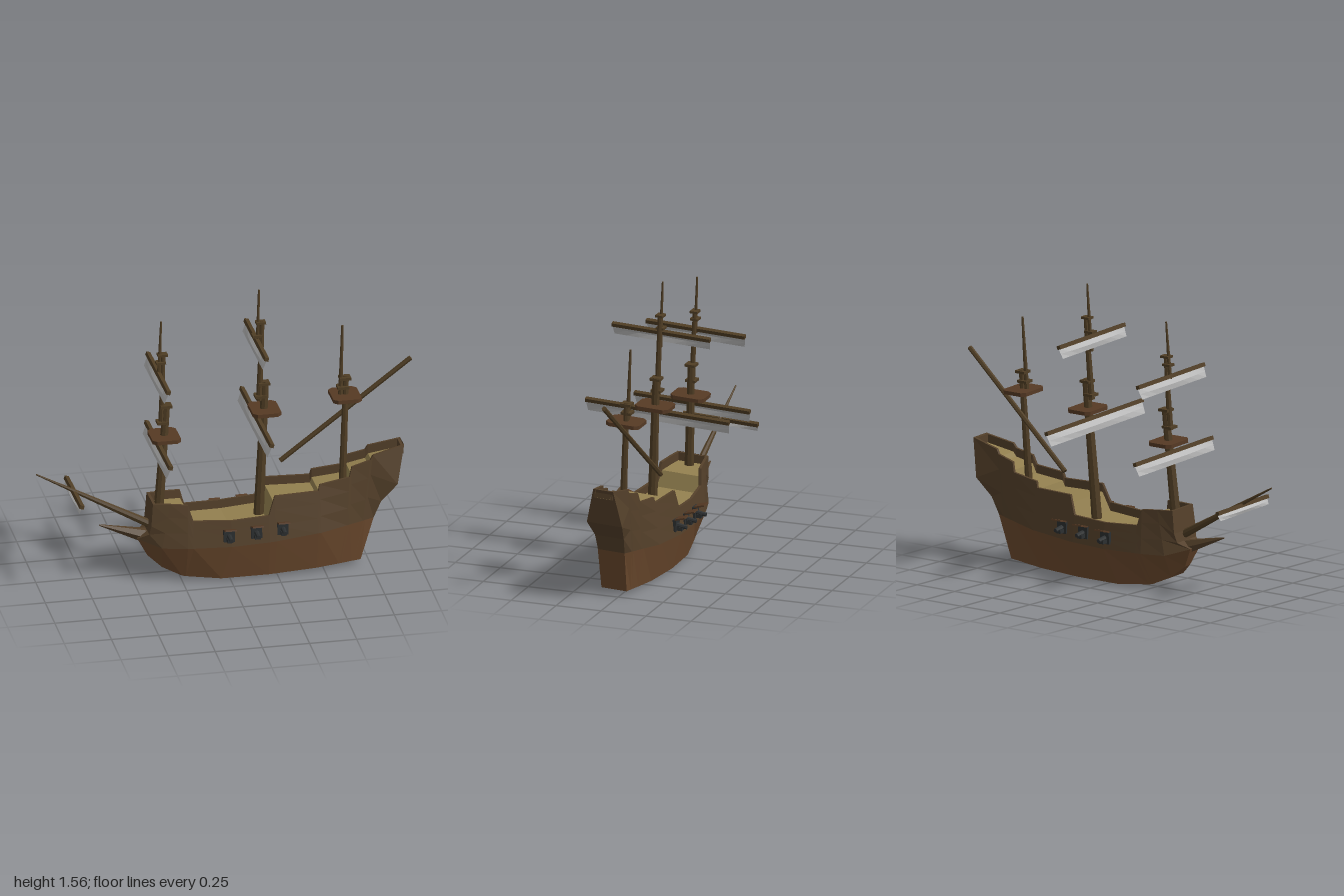
import * as THREE from 'three';

const mat = (color) => new THREE.MeshStandardMaterial({ color, flatShading: true, side: THREE.DoubleSide });

export function createModel() {
  const root = new THREE.Group();
  root.name = 'sailingShip';
  const ship = new THREE.Group();
  ship.name = 'heeledShip';
  root.add(ship);

  const planks = mat(0x6b492d), topsides = mat(0x54402a), deckWood = mat(0x93804f);
  const spar = mat(0x4f3d24), platformWood = mat(0x563a24), cloth = mat(0xb8b8b8), iron = mat(0x2c2f30);

  const add = (name, geometry, material, parent = ship) => {
    const m = new THREE.Mesh(geometry, material);
    m.name = name;
    parent.add(m);
    return m;
  };
  const box = (name, material, size, pos, parent = ship) => {
    const m = add(name, new THREE.BoxGeometry(...size), material, parent);
    m.position.set(...pos);
    return m;
  };
  // Tapered pole between two points
  const pole = (name, a, b, r0, r1, material = spar, sides = 8, parent = ship) => {
    const p = new THREE.Vector3(...a), q = new THREE.Vector3(...b);
    const m = add(name, new THREE.CylinderGeometry(r1, r0, p.distanceTo(q), sides), material, parent);
    m.position.copy(p).lerp(q, 0.5);
    m.quaternion.setFromUnitVectors(new THREE.Vector3(0, 1, 0), q.sub(p).normalize());
    return m;
  };
  // Surface through rows of points
  const loft = (name, rows, material) => {
    const n = rows[0].length, index = [];
    for (let i = 0; i < rows.length - 1; i++)
      for (let j = 0; j < n - 1; j++) {
        const a = i * n + j, d = a + n;
        index.push(a, a + 1, d + 1, a, d + 1, d);
      }
    const g = new THREE.BufferGeometry();
    g.setAttribute('position', new THREE.Float32BufferAttribute(rows.flat(2), 3));
    g.setIndex(index);
    g.computeVertexNormals();
    return add(name, g, material);
  };

  // Hull stations, bow to stern: keel, wale and rail as [x, y, half width]
  const mix = (a, b, t) => a.map((v, i) => v + (b[i] - v) * t);
  const station = (k, w, r, m = mix(w, r, 0.35), u = mix(w, r, 0.7)) => [r, u, m, w, k];
  const stations = [
    station([-0.42, 0.13, 0.02], [-0.475, 0.235, 0.04], [-0.4, 0.44, 0.085], [-0.42, 0.27, 0.08], [-0.41, 0.32, 0.09]),
    station([-0.35, 0.07, 0.05], [-0.36, 0.2, 0.115], [-0.31, 0.437, 0.1]),
    station([-0.25, 0.026, 0.085], [-0.23, 0.2, 0.15], [-0.22, 0.43, 0.115]),
    station([-0.23, 0.023, 0.09], [-0.2, 0.2, 0.154], [-0.195, 0.345, 0.13]),
    station([-0.05, 0.008, 0.125], [0, 0.2, 0.174], [0, 0.337, 0.152]),
    station([0.2, 0.012, 0.135], [0.2, 0.21, 0.18], [0.2, 0.35, 0.157]),
    station([0.23, 0.013, 0.134], [0.235, 0.212, 0.179], [0.235, 0.45, 0.14]),
    station([0.45, 0.018, 0.118], [0.46, 0.23, 0.163], [0.47, 0.45, 0.122]),
    station([0.46, 0.018, 0.117], [0.475, 0.23, 0.161], [0.478, 0.482, 0.116]),
    station([0.58, 0.022, 0.095], [0.62, 0.245, 0.125], [0.64, 0.503, 0.1]),
    station([0.59, 0.022, 0.093], [0.635, 0.247, 0.121], [0.655, 0.555, 0.09]),
    station([0.65, 0.024, 0.08], [0.71, 0.253, 0.1], [0.755, 0.58, 0.08]),
    station([0.66, 0.024, 0.078], [0.72, 0.254, 0.096], [0.77, 0.605, 0.076]),
    station([0.7, 0.025, 0.07], [0.77, 0.255, 0.074], [0.94, 0.64, 0.055], [0.81, 0.345, 0.08], [0.895, 0.44, 0.098]),
  ];
  const side = (pts, s) => pts.map(([x, y, w]) => [x, y, s * w]);
  const outer = (from, to, s) => stations.map((st) => {
    const p = side(st.slice(from, to), s);
    return s > 0 ? p : p.reverse();
  });
  loft('lowerHull', stations.map((st) => [...side(st.slice(3), 1), ...side(st.slice(3), -1).reverse()]), planks);
  const bow = stations[0], stern = stations[stations.length - 1];
  for (const s of [1, -1]) {
    loft('upperHull', outer(0, 4, s), topsides);
    // Rail cap and inner bulwark
    loft('bulwark', stations.map(([[x, y, w]]) => {
      const p = side([[x, y, w], [x, y, w - 0.014], [x, y - 0.045, w - 0.014]], s);
      return s > 0 ? p.reverse() : p;
    }), topsides);
  }
  loft('deck', stations.map(([[x, y, w]]) => [[x, y - 0.045, 0.014 - w], [x, y - 0.045, w - 0.014]]), deckWood);
  loft('bowFace', [side(bow.slice(0, 4), -1), side(bow.slice(0, 4), 1)], topsides);
  loft('stem', [side(bow.slice(3), -1), side(bow.slice(3), 1)], planks);
  loft('transom', [side(stern.slice(0, 4), 1), side(stern.slice(0, 4), -1)], topsides);
  loft('sternPanel', [side(stern.slice(3), 1), side(stern.slice(3), -1)], planks);
  box('bowRail', topsides, [0.014, 0.05, 0.165], [-0.392, 0.414, 0]);
  box('sternRail', topsides, [0.014, 0.046, 0.105], [0.929, 0.615, 0]);

  // Beak and bowsprit
  pole('beak', [-0.41, 0.23, 0], [-0.67, 0.315, 0], 0.042, 0.004, topsides, 6);
  pole('bowsprit', [-0.36, 0.275, 0], [-1, 0.63, 0], 0.024, 0.004);

  // Guns with ports and raised lids, mirrored to both sides
  for (const s of [1, -1])
    [[-0.015, 0.262], [0.13, 0.27], [0.27, 0.278]].forEach(([x, y]) => {
      const gun = new THREE.Group();
      gun.name = 'gunPort';
      gun.position.set(x, y, s * 0.168);
      ship.add(gun);
      box('portFrame', iron, [0.058, 0.064, 0.02], [0, 0, 0], gun);
      box('carriage', iron, [0.03, 0.02, 0.05], [0, -0.016, s * 0.015], gun);
      pole('barrel', [0, 0, 0], [0, -0.005, s * 0.062], 0.015, 0.011, iron, 8, gun);
      const lid = box('portLid', platformWood, [0.06, 0.008, 0.056], [0, 0.042, s * 0.03], gun);
      lid.rotation.x = -s * 0.3;
    });

  // Masts: overlapping poles [from, to, radii], a fighting top and small caps
  const masts = [
    { name: 'foremast', top: [-0.32, 0.783],
      poles: [[-0.355, 0.36, -0.306, 0.96, 0.027, 0.019], [-0.335, 0.85, -0.32, 1.245, 0.016, 0.011], [-0.345, 1.12, -0.33, 1.43, 0.011, 0.005]],
      caps: [[-0.33, 0.865], [-0.31, 0.955], [-0.335, 1.2], [-0.325, 1.243]] },
    { name: 'mainmast', top: [0.213, 0.885],
      poles: [[0.175, 0.28, 0.218, 1.045, 0.028, 0.02], [0.185, 0.94, 0.206, 1.385, 0.017, 0.012], [0.178, 1.2, 0.19, 1.56, 0.012, 0.005]],
      caps: [[0.19, 0.965], [0.21, 1.035], [0.178, 1.305], [0.197, 1.378]] },
    { name: 'mizzenmast', top: [0.64, 0.925],
      poles: [[0.622, 0.44, 0.647, 1.035, 0.02, 0.015], [0.616, 0.92, 0.63, 1.32, 0.013, 0.006]],
      caps: [[0.628, 0.975], [0.64, 1.025]] },
  ];
  // Fighting top outline: a square with cut corners
  const a = 0.075, b = 0.092, c = 0.022;
  const outline = new THREE.Shape([[a, b - c], [a - c, b], [c - a, b], [-a, b - c], [-a, c - b], [c - a, -b], [a - c, -b], [a, c - b]]
    .map((p) => new THREE.Vector2(...p)));
  for (const { name, top, poles, caps } of masts) {
    const mast = new THREE.Group();
    mast.name = name;
    ship.add(mast);
    poles.forEach(([x0, y0, x1, y1, r0, r1]) => pole('mastSection', [x0, y0, 0], [x1, y1, 0], r0, r1, spar, 8, mast));
    const platform = add('fightingTop', new THREE.ExtrudeGeometry(outline, { depth: 0.02, bevelEnabled: false }), platformWood, mast);
    platform.rotation.x = -Math.PI / 2;
    platform.position.set(top[0], top[1] - 0.01, 0);
    caps.forEach(([x, y], i) => box('mastCap', spar, i < 2 ? [0.06, 0.014, 0.055] : [0.052, 0.012, 0.042], [x, y, 0], mast));
  }

  // Yards with furled sails: x, y, half length, sail drop
  const yards = [
    ['foreYard', -0.35, 0.735, 0.322, 0.055], ['foreTopYard', -0.348, 1.14, 0.275, 0.056],
    ['mainYard', 0.172, 0.845, 0.4, 0.06], ['mainTopYard', 0.174, 1.28, 0.273, 0.052],
    ['spritYard', -0.8, 0.51, 0.208, 0.033],
  ];
  for (const [name, x, y, h, drop] of yards) {
    const yard = box(name, spar, [0.022, 0.02, h * 2], [x, y, 0]);
    yard.rotation.z = -0.3;
    const rows = [];
    for (let i = 0; i <= 8; i++) {
      const t = i / 4 - 1, belly = 1 - t * t;
      rows.push([0, 0.5, 1].map((v) => [
        x - 0.4 * drop * v - 0.012 * belly * Math.sin(v * Math.PI),
        y - 0.006 - drop * v, t * (h - 0.008 * v)]));
    }
    loft(name + 'Sail', rows, cloth);
  }
  // Long slanted yard on the mizzen
  pole('lateenYard', [0.31, 0.553, -0.085], [0.99, 1.105, 0], 0.013, 0.013, spar, 6);

  // Slight heel of the whole ship
  ship.rotation.x = -0.05;
  ship.position.z = 0.043;
  return root;
}
